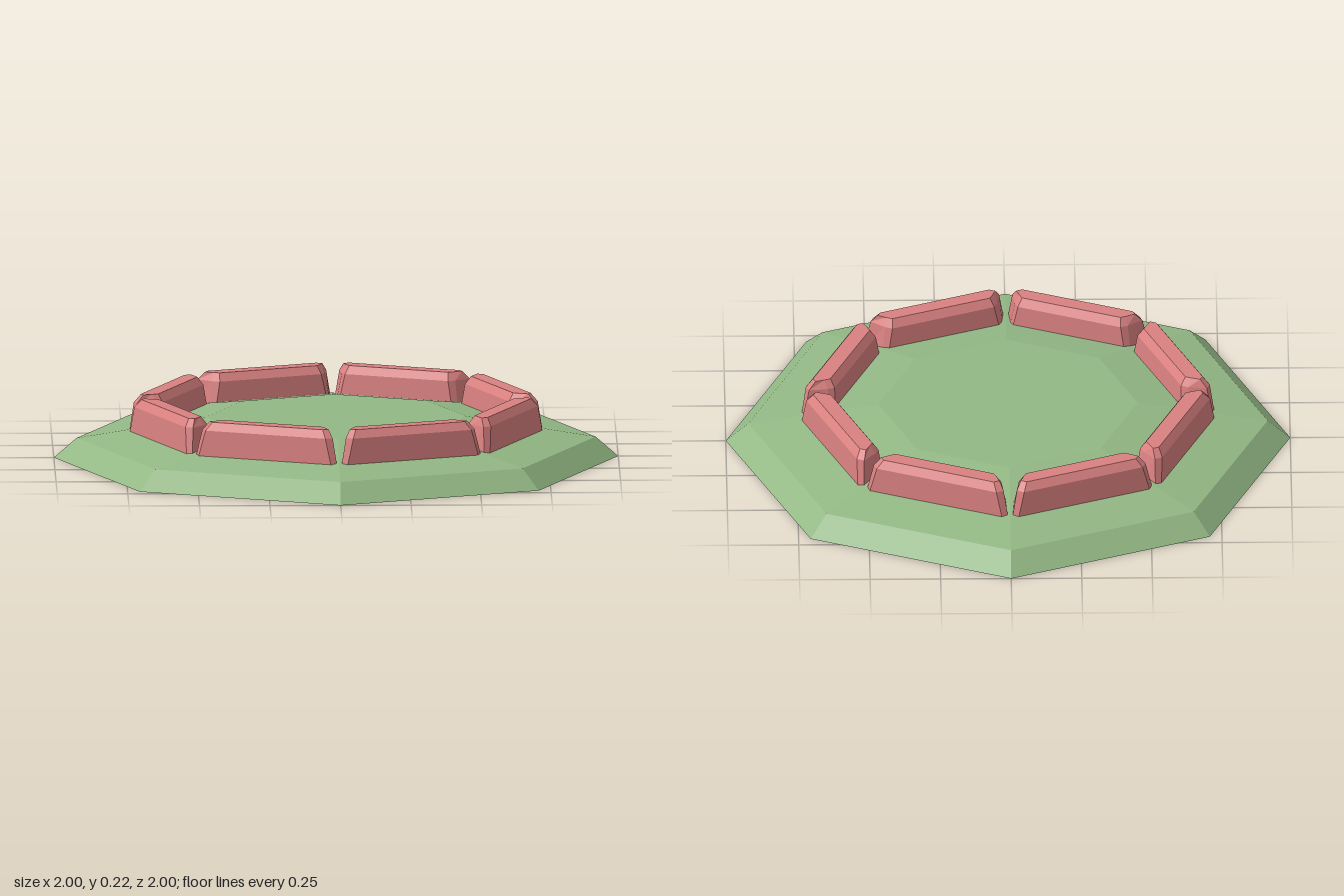
import * as THREE from 'three';

const SIDES = 8;

// Outline of one block layer: mitred ends, chamfered corners.
// ro / ri: outer and inner distance from the centre, ho / hi: half lengths there.
function outline({ y, ro, ri, ho, hi, c }) {
  return [
    [-ho, ro - c], [-ho + c, ro], [ho - c, ro], [ho, ro - c],
    [hi, ri + c], [hi - c, ri], [-hi + c, ri], [-hi, ri + c],
  ].map(([x, z]) => [x, y, z]);
}

// Skin a stack of equal-sized loops and close both ends.
function loft(loops) {
  const n = loops[0].length;
  const index = [];
  for (let k = 0; k < loops.length - 1; k++) {
    for (let i = 0; i < n; i++) {
      const j = (i + 1) % n;
      const a = k * n + i, b = k * n + j;
      index.push(a, b, b + n, a, b + n, a + n);
    }
  }
  const top = (loops.length - 1) * n;
  for (let i = 1; i < n - 1; i++) {
    index.push(top, top + i, top + i + 1);
    index.push(0, i + 1, i);
  }
  const geometry = new THREE.BufferGeometry();
  geometry.setAttribute('position', new THREE.Float32BufferAttribute(loops.flat(2), 3));
  geometry.setIndex(index);
  geometry.computeVertexNormals();
  return geometry;
}

export function createModel() {
  const model = new THREE.Group();
  model.name = 'blockRingOnMound';

  const green = new THREE.MeshStandardMaterial({ color: 0x93b885, flatShading: true });
  const red = new THREE.MeshStandardMaterial({ color: 0xd98080, flatShading: true });

  // Low eight-sided mound: steep rim, gentle slope, flat centre
  const profile = [[0, 0], [1, 0], [0.92, 0.07], [0.46, 0.145], [0, 0.145]]
    .map(([r, y]) => new THREE.Vector2(r, y));
  const mound = new THREE.Mesh(new THREE.LatheGeometry(profile, SIDES), green);
  mound.name = 'mound';
  model.add(mound);

  // Ring of tapered blocks, one along each side of the mound
  const blockGeometry = loft([
    { y: 0.09, ro: 0.687, ri: 0.573, ho: 0.27, hi: 0.232, c: 0.016 },
    { y: 0.19, ro: 0.68, ri: 0.583, ho: 0.248, hi: 0.216, c: 0.02 },
    { y: 0.218, ro: 0.66, ri: 0.603, ho: 0.226, hi: 0.204, c: 0.016 },
  ].map(outline));
  const ring = new THREE.Group();
  ring.name = 'blockRing';
  for (let i = 0; i < SIDES; i++) {
    const block = new THREE.Mesh(blockGeometry, red);
    block.name = `block${i + 1}`;
    block.rotation.y = ((i + 0.5) / SIDES) * Math.PI * 2;
    ring.add(block);
  }
  model.add(ring);

  return model;
}
